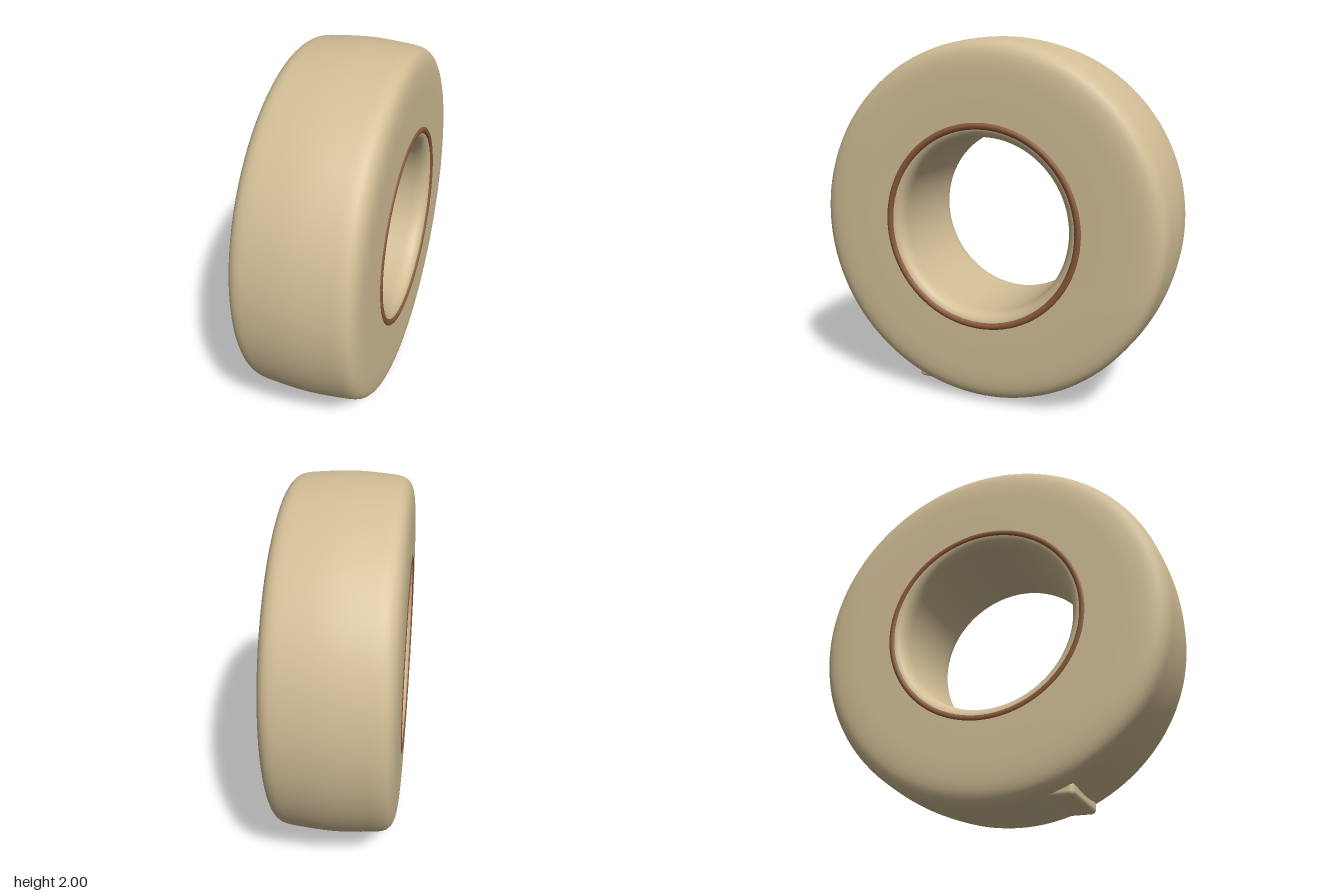
import * as THREE from 'three';
import { RoundedBoxGeometry } from 'three/addons/geometries/RoundedBoxGeometry.js';

const tan = new THREE.MeshStandardMaterial({ color: 0xd2be96 });
const brown = new THREE.MeshStandardMaterial({ color: 0x8b5a3c });

function addPart(group, name, geometry, material) {
  const mesh = new THREE.Mesh(geometry, material);
  mesh.name = name;
  group.add(mesh);
  return mesh;
}

// Closed cross-section of the roll: x is the radius, y runs along the axle
function rollProfile() {
  const s = new THREE.Path();
  s.moveTo(0.478, 0);
  s.lineTo(0.478, -0.24);
  s.bezierCurveTo(0.478, -0.29, 0.49, -0.335, 0.55, -0.335); // bore lip
  s.lineTo(0.76, -0.335);
  s.bezierCurveTo(0.93, -0.332, 0.975, -0.315, 0.985, -0.23); // shoulder
  s.bezierCurveTo(0.995, -0.13, 1, -0.06, 1, 0); // crowned tread
  s.bezierCurveTo(1, 0.06, 0.995, 0.13, 0.985, 0.23);
  s.bezierCurveTo(0.975, 0.315, 0.93, 0.329, 0.78, 0.331);
  s.lineTo(0.55, 0.331);
  s.bezierCurveTo(0.49, 0.331, 0.478, 0.29, 0.478, 0.24);
  s.lineTo(0.478, 0);
  return s.getPoints(10);
}

export function createModel() {
  const model = new THREE.Group();
  model.name = 'roll';

  // Thick ring-shaped body, axle along x
  const body = new THREE.LatheGeometry(rollProfile(), 128);
  body.rotateZ(-Math.PI / 2);
  addPart(model, 'body', body, tan).position.y = 1;

  // Thin trim ring around the hole on each side
  for (const side of [1, -1]) {
    const ring = new THREE.TorusGeometry(0.543, 0.021, 12, 96);
    ring.rotateY(Math.PI / 2);
    addPart(model, side > 0 ? 'leftTrimRing' : 'rightTrimRing', ring, brown)
      .position.set(side * 0.319, 1, 0);
  }

  // Loose end tab sticking out low on the front
  const tab = new RoundedBoxGeometry(0.455, 0.075, 0.2, 4, 0.025);
  addPart(model, 'endTab', tab, tan).position.set(0.003, 0.09, 0.333);

  return model;
}
